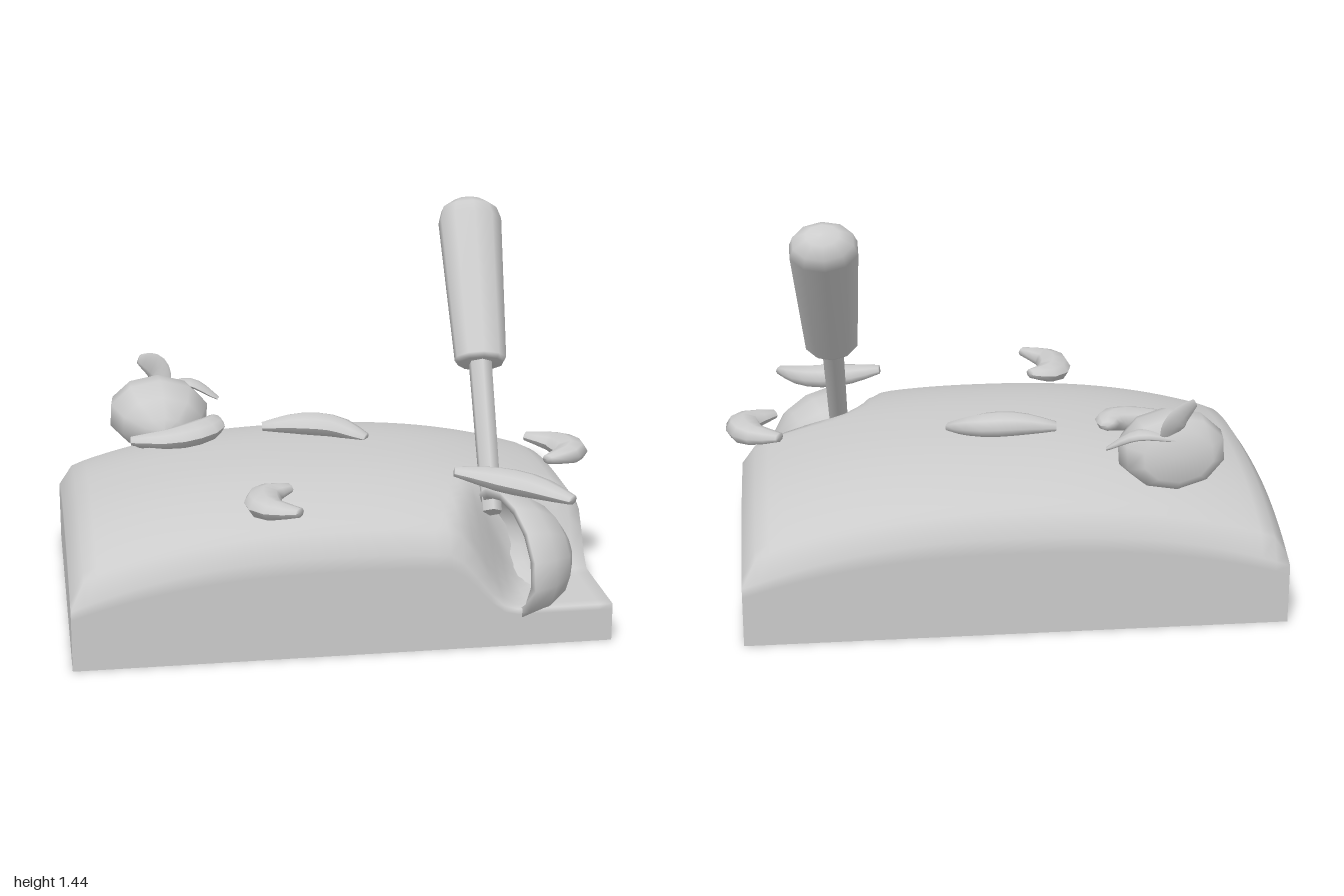
import * as THREE from 'three';

const clay = new THREE.MeshStandardMaterial({ color: 0xcccccc, side: THREE.DoubleSide });
clay.name = 'plain grey';
const V = (a) => new THREE.Vector3(...a);
const UP = new THREE.Vector3(0, 1, 0);
const smooth = THREE.MathUtils.smoothstep;

function add(parent, name, geometry) {
  const mesh = new THREE.Mesh(geometry, clay);
  mesh.name = name;
  parent.add(mesh);
  return mesh;
}

// Indexed surface from a grid of points
function gridGeometry(rows, cols, point) {
  const pos = [], index = [];
  for (let i = 0; i < rows; i++) for (let j = 0; j < cols; j++) pos.push(...point(i, j));
  for (let i = 0; i < rows - 1; i++) for (let j = 0; j < cols - 1; j++) {
    const a = i * cols + j, b = a + cols;
    index.push(a, a + 1, b, b, a + 1, b + 1);
  }
  const g = new THREE.BufferGeometry();
  g.setAttribute('position', new THREE.Float32BufferAttribute(pos, 3));
  g.setIndex(index);
  g.computeVertexNormals();
  return g;
}

// Domed top height, with one corner dug out
function height(x, z) {
  const u = Math.min(1, Math.abs(x + 0.03) / 0.97), v = Math.min(1, Math.abs(z + 0.04) / 0.7);
  const round = Math.max(smooth(u, 0.94, 1), smooth(v, 0.93, 1));
  const dome = 0.56 - 0.15 * u ** 2.4 - 0.13 * v ** 2.4 - 0.06 * round;
  const left = 0.34 + (0.65 - z) * 0.35;
  const dug = smooth(x, left, left + 0.25) * smooth(z, 0.19 - 0.06 * x, 0.36 - 0.06 * x);
  return THREE.MathUtils.lerp(dome, 0.14, dug);
}

// Hollow block: dome grid whose outermost rows fall to the ground as walls
function blockGeometry() {
  const n = 44, m = 36, walls = [0, 0.85, 1];
  const axis = (k, count, lo, hi) => {
    const t = THREE.MathUtils.clamp((k - 2) / (count - 5), 0, 1);
    return lo + (hi - lo) * t;
  };
  const drop = (k, count) => walls[Math.min(2, k, count - 1 - k)];
  return gridGeometry(n, m, (i, j) => {
    const x = axis(i, n, -1, 0.945), z = axis(j, m, -0.74, 0.655);
    return [x, height(x, z) * Math.min(drop(i, n), drop(j, m)), z];
  });
}

// Tapered, lens-shaped strip along a curve
function stripGeometry(points, width, thick, end, up = UP) {
  const curve = new THREE.CatmullRomCurve3(points.map(V));
  const rows = 9, sides = 8;
  return gridGeometry(rows + 2, sides + 1, (i, j) => {
    const t = THREE.MathUtils.clamp((i - 1) / (rows - 1), 0, 1);
    const p = curve.getPoint(t), tan = curve.getTangent(t);
    const side = tan.clone().cross(up).normalize(), top = side.clone().cross(tan);
    const cap = i === 0 || i === rows + 1 ? 0 : 1;
    const s = cap * (end + (1 - end) * Math.sin(Math.PI * t));
    const a = (j / sides) * Math.PI * 2;
    return p.addScaledVector(side, Math.cos(a) * width * s)
      .addScaledVector(top, Math.sin(a) * thick * s).toArray();
  });
}

const lathe = (profile, sides) =>
  new THREE.LatheGeometry(profile.map(([r, y]) => new THREE.Vector2(r, y)), sides);

// Place a y-axis part so that it points along a direction
function aim(mesh, at, direction) {
  mesh.position.set(...at);
  mesh.quaternion.setFromUnitVectors(UP, V(direction).normalize());
  return mesh;
}

export function createModel() {
  const model = new THREE.Group();
  add(model, 'block', blockGeometry());

  // Spoon: hollow bowl lying on its side, stem and thick handle
  const spoon = new THREE.Group();
  spoon.name = 'spoon';
  model.add(spoon);
  const bowl = add(spoon, 'bowl', lathe([
    [0, -1], [0.38, -0.93], [0.71, -0.71], [0.92, -0.38], [1, 0],
    [0.87, 0.0], [0.8, -0.34], [0.6, -0.62], [0.3, -0.8], [0, -0.86]], 14));
  const open = V([-0.96, 0.05, 0.26]).normalize();
  const long = V([0.24, -0.36, 0.9]);
  long.addScaledVector(open, -long.dot(open)).normalize();
  bowl.quaternion.setFromRotationMatrix(
    new THREE.Matrix4().makeBasis(long, open, long.clone().cross(open)));
  bowl.scale.set(0.275, 0.26, 0.215);
  bowl.position.set(0.57, 0.285, 0.475);

  const stem = add(spoon, 'stem', new THREE.CylinderGeometry(0.046, 0.04, 0.64, 6));
  aim(stem, [0.58, 0.65, 0.135], [0.03, 0.54, -0.41]);
  const handle = add(spoon, 'handle', lathe([
    [0, 0], [0.088, 0], [0.1, 0.02], [0.125, 0.6], [0.11, 0.65], [0.06, 0.685], [0, 0.69]], 10));
  aim(handle, [0.595, 0.865, -0.035], [0.03, 0.535, -0.41]);
  handle.scale.z = 0.77;

  // Berry with two leaves at its flat end
  const berry = add(model, 'berry', lathe([
    [0, 0], [0.13, 0], [0.185, 0.05], [0.2, 0.14], [0.16, 0.25], [0.08, 0.325], [0, 0.345]], 10));
  aim(berry, [-0.61, 0.6, -0.61], [0.05, -0.1, 1]);
  berry.scale.z = 0.72;
  add(model, 'upperLeaf', stripGeometry(
    [[-0.56, 0.66, -0.59], [-0.6, 0.74, -0.605], [-0.67, 0.79, -0.57]], 0.05, 0.015, 0.4, V([0.3, 0.3, 1])));
  add(model, 'sideLeaf', stripGeometry(
    [[-0.6, 0.66, -0.59], [-0.47, 0.68, -0.58], [-0.36, 0.62, -0.55]], 0.045, 0.015, 0.35));

  // Loose curled shavings
  const curls = [
    [[-0.73, 0.57, -0.19], [-0.56, 0.58, -0.17], [-0.43, 0.6, -0.22], [-0.4, 0.61, -0.31]],
    [[-0.22, 0.59, -0.24], [-0.08, 0.6, -0.225], [0.06, 0.59, -0.2], [0.17, 0.56, -0.13]],
    [[-0.2, 0.56, 0.415], [-0.29, 0.55, 0.46], [-0.3, 0.55, 0.6], [-0.2, 0.56, 0.69]],
    [[0.8, 0.54, -0.125], [0.91, 0.53, -0.05], [0.93, 0.53, 0.07], [0.82, 0.53, 0.15]],
    [[0.4, 0.595, 0.43], [0.54, 0.57, 0.45], [0.68, 0.55, 0.51], [0.79, 0.535, 0.63]],
  ];
  curls.forEach((path, i) => add(model, `curl${i + 1}`, stripGeometry(path, 0.068, 0.045, 0.38)));
  return model;
}
